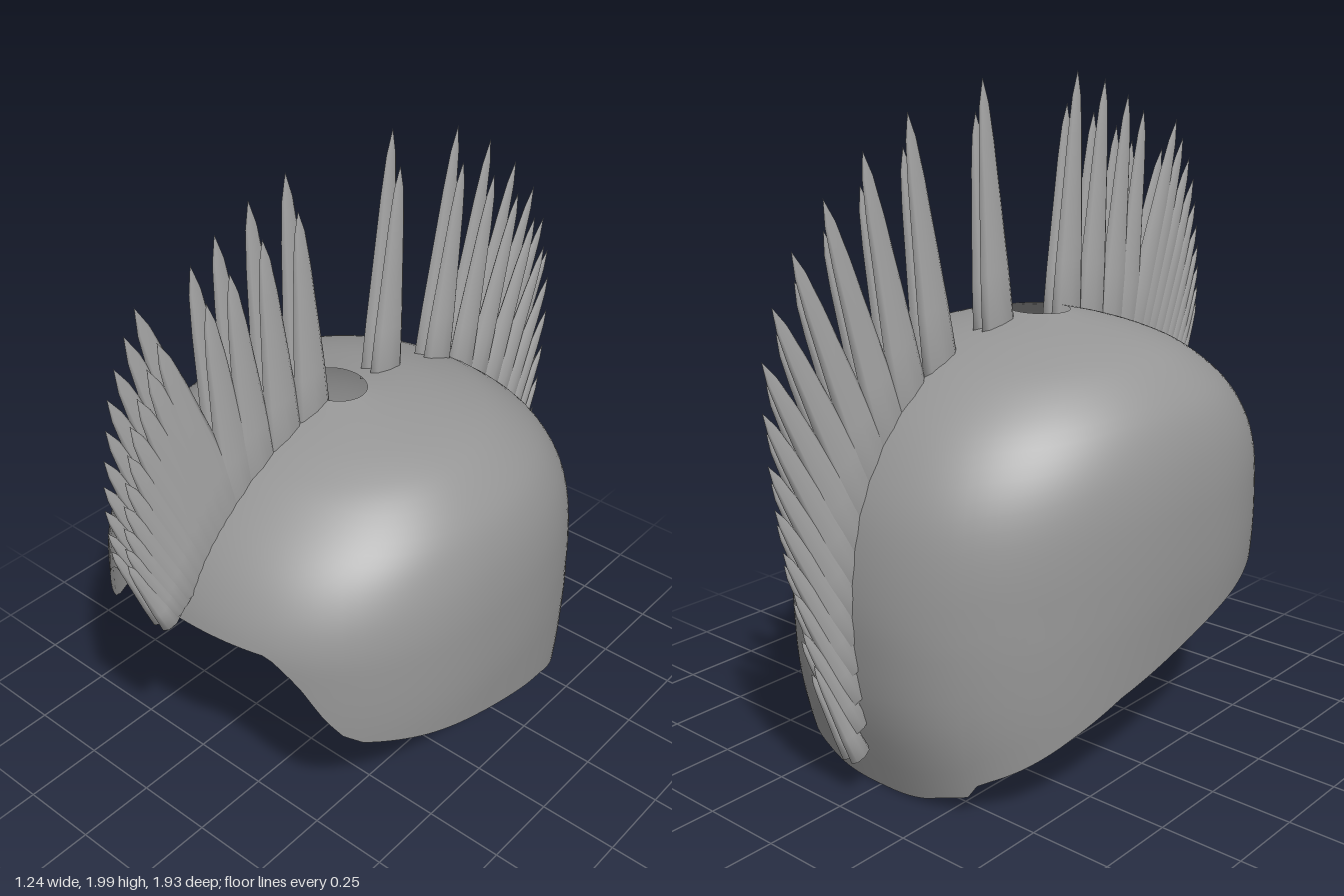
import * as THREE from 'three';

const ZC = 0.115; // centre of the crown opening

// Shell levels from crown to hem: [y, half width, front z, back z]
const LEVELS = [
  [1.305, 0.1, 0.2, 0.03], [1.275, 0.25, 0.32, -0.14], [1.24, 0.37, 0.42, -0.26],
  [1.19, 0.46, 0.52, -0.38], [1.1, 0.545, 0.64, -0.5], [1.0, 0.59, 0.725, -0.585],
  [0.88, 0.613, 0.78, -0.65], [0.75, 0.62, 0.79, -0.685], [0.6, 0.618, 0.79, -0.7],
  [0.45, 0.605, 0.78, -0.692], [0.25, 0.585, 0.77, -0.663], [0, 0.56, 0.75, -0.585],
];
const sideCurve = new THREE.CatmullRomCurve3(
  LEVELS.map(([y, w, f]) => new THREE.Vector3(w, y, f)), false, 'catmullrom');
const backCurve = new THREE.CatmullRomCurve3(
  LEVELS.map(([y, w, , b]) => new THREE.Vector3(w, y, b)), false, 'catmullrom');

// Hem height by depth: [z, y], with a small notch at the nape
const HEM = [
  [-0.588, 0.01], [-0.578, 0.05], [-0.551, 0.07], [-0.55, 0.11], [-0.53, 0.13],
  [-0.35, 0.24], [-0.2, 0.32], [0, 0.39], [0.2, 0.455], [0.4, 0.51], [0.57, 0.56],
  [0.62, 0.6], [0.66, 0.68], [0.69, 0.77], [0.73, 0.865], [0.78, 0.88],
];
function hemHeight(z) {
  if (z <= HEM[0][0]) return HEM[0][1];
  for (let i = 1; i < HEM.length; i++) {
    const [z0, y0] = HEM[i - 1], [z1, y1] = HEM[i];
    if (z <= z1) return y0 + (y1 - y0) * (z - z0) / (z1 - z0);
  }
  return 0.88;
}

// Point on the egg-shaped dome at angle a (0 = front), t = 0 crown .. 1 bottom
function domePoint(a, t) {
  const p = sideCurve.getPoint(t), q = backCurve.getPoint(t);
  const s = Math.sin(a), c = Math.cos(a);
  const depth = c > 0 ? p.z - ZC : ZC - q.z;
  const n = c > 0
    ? 2 + 0.35 * Math.min(1, t * 2)
    : 2 + 0.25 * Math.min(1, t * 2) + 0.55 * Math.max(0, 1 - p.y / 0.6);
  const r = (Math.abs(s / p.x) ** n + Math.abs(c / depth) ** n) ** (-1 / n);
  return new THREE.Vector3(r * s, p.y, ZC + r * c);
}

function shellGeometry(cols = 160, rows = 32) {
  const pos = [], index = [];
  for (let i = 0; i < cols; i++) {
    const a = i / cols * Math.PI * 2;
    // find where this column meets the hem
    let lo = 0, hi = 1;
    for (let k = 0; k < 24; k++) {
      const mid = (lo + hi) / 2, p = domePoint(a, mid);
      if (p.y > hemHeight(p.z)) lo = mid; else hi = mid;
    }
    for (let j = 0; j <= rows; j++) pos.push(...domePoint(a, hi * j / rows).toArray());
    const here = i * (rows + 1), next = ((i + 1) % cols) * (rows + 1);
    for (let j = 0; j < rows; j++) {
      index.push(here + j, here + j + 1, next + j);
      index.push(next + j, here + j + 1, next + j + 1);
    }
  }
  const g = new THREE.BufferGeometry();
  g.setAttribute('position', new THREE.Float32BufferAttribute(pos, 3));
  g.setIndex(index);
  g.computeVertexNormals();
  return g;
}

// Feathers: [base z, base y, tip z, tip y]
const FRONT = [
  [0.24, 1.25, 0.285, 2.0], [0.355, 1.22, 0.42, 1.97], [0.46, 1.18, 0.54, 1.92],
  [0.535, 1.13, 0.625, 1.87], [0.58, 1.11, 0.81, 1.83], [0.61, 1.08, 0.85, 1.77],
  [0.64, 1.06, 0.89, 1.7], [0.67, 1.03, 0.92, 1.63], [0.7, 1.0, 0.935, 1.55],
  [0.725, 0.98, 0.95, 1.47], [0.75, 0.955, 0.96, 1.4], [0.775, 0.935, 0.965, 1.33],
  [0.795, 0.92, 0.965, 1.26], [0.815, 0.9, 0.96, 1.2],
];
const BACK = [
  [-0.075, 1.26, -0.14, 1.99], [-0.32, 1.19, -0.435, 1.91], [-0.44, 1.11, -0.6, 1.82],
  [-0.52, 1.04, -0.74, 1.71], [-0.58, 0.95, -0.85, 1.59], [-0.62, 0.86, -0.92, 1.46],
  [-0.65, 0.77, -0.96, 1.33], [-0.668, 0.68, -0.965, 1.2], [-0.678, 0.59, -0.955, 1.06],
  [-0.682, 0.5, -0.94, 0.94], [-0.682, 0.41, -0.92, 0.82], [-0.677, 0.32, -0.89, 0.7],
  [-0.672, 0.23, -0.865, 0.58], [-0.672, 0.14, -0.83, 0.47],
];

export function createModel() {
  const model = new THREE.Group();
  const shellMaterial = new THREE.MeshStandardMaterial({ color: 0x969696, side: THREE.DoubleSide });
  const featherMaterial = new THREE.MeshStandardMaterial({ color: 0xa8a8a8 });

  const shell = new THREE.Mesh(shellGeometry(), shellMaterial);
  shell.name = 'helmetShell';
  model.add(shell);

  // One unit feather: widest at the root, tapering steadily to a point
  const profile = [[0, 0], [1, 0], [0.86, 0.25], [0.66, 0.5], [0.46, 0.75], [0.28, 0.9], [0, 1]];
  const feather = new THREE.LatheGeometry(profile.map(([r, y]) => new THREE.Vector2(r, y)), 8);

  // Two parallel rows, the second one a little shorter
  function crest(name, list) {
    const group = new THREE.Group();
    group.name = name;
    for (const [x, scale] of [[-0.005, 1], [0.03, 0.87]]) {
      for (const [z0, y0, z1, y1] of list) {
        const length = Math.hypot(z1 - z0, y1 - y0);
        const mesh = new THREE.Mesh(feather, featherMaterial);
        mesh.name = 'feather';
        mesh.position.set(x, y0, z0);
        mesh.rotation.x = Math.atan2(z1 - z0, y1 - y0);
        mesh.scale.set(0.02, length * scale, Math.max(0.036, length * 0.098));
        group.add(mesh);
      }
    }
    model.add(group);
  }
  crest('frontCrest', FRONT);
  crest('backCrest', BACK);
  return model;
}
